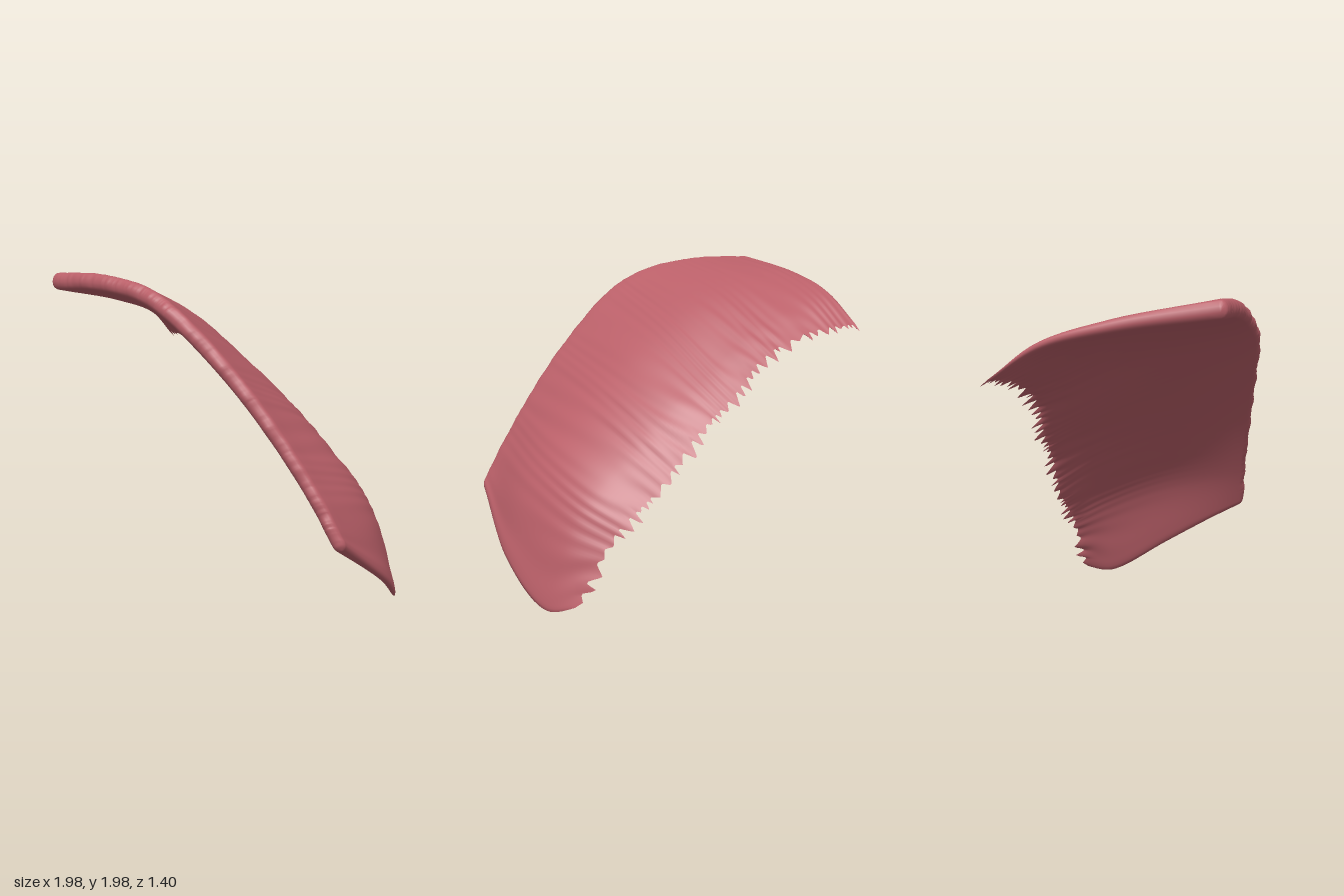
import * as THREE from 'three';

// Rails along the swept sheet, from the front lip to the ragged back edge: [x, y, z]
const RAILS = [
  [[-0.98, 1.98, 0.56], [-0.6, 1.97, 0.6], [-0.24, 1.9, 0.63], [0.01, 1.77, 0.66],
   [0.33, 1.47, 0.62], [0.58, 1.17, 0.58], [0.82, 0.82, 0.54], [0.98, 0.54, 0.52]],
  [[-0.98, 1.88, 0], [-0.64, 1.83, 0], [-0.31, 1.7, 0], [-0.05, 1.52, 0],
   [0.25, 1.29, 0], [0.55, 1.01, 0], [0.82, 0.69, 0], [1.0, 0.22, 0]],
  [[-0.965, 1.76, -0.38], [-0.68, 1.65, -0.38], [-0.37, 1.49, -0.37], [-0.13, 1.29, -0.38],
   [0.14, 1.1, -0.39], [0.44, 0.82, -0.39], [0.7, 0.54, -0.38], [0.89, 0.01, -0.38]],
  [[-0.99, 1.55, -0.65], [-0.72, 1.51, -0.59], [-0.42, 1.37, -0.56], [-0.2, 1.15, -0.58],
   [0.03, 0.95, -0.59], [0.3, 0.65, -0.61], [0.53, 0.43, -0.58], [0.75, 0.06, -0.55]],
];
const COLS = 220, ROWS = 28, ARC = 7;

function seeded(seed) {
  return () => {
    seed = (seed * 16807) % 2147483647;
    return seed / 2147483647;
  };
}

// Offsets for the back edge: teeth of uneven width and length
function createTeeth(random) {
  const teeth = [];
  while (teeth.length <= COLS) {
    const width = 3 + Math.floor(random() * 6);
    const length = 0.02 + 0.07 * random();
    for (let k = 0; k < width; k++) {
      const t = k / (width - 1);
      teeth.push(length * (t < 0.6 ? t / 0.6 : (1 - t) / 0.4) - 0.025);
    }
  }
  return teeth;
}

// Slanting strand ridges
function ridge(u, v) {
  const s = u + 0.035 * v;
  const fade = Math.min(1, 0.25 + v) * (1 - 0.5 * v);
  return fade * (0.004 * Math.sin(s * 85 + 3 * Math.sin(s * 17 + v * 2)) +
    0.003 * Math.sin(s * 190 + 4 * Math.sin(s * 31 - v * 3)));
}

function createSheet() {
  const random = seeded(417);
  const rails = RAILS.map(r => new THREE.CatmullRomCurve3(r.map(p => new THREE.Vector3(...p))));
  const section = u => new THREE.CatmullRomCurve3(rails.map(r => r.getPoint(u)));
  const teeth = createTeeth(random);

  const positions = [], index = [];
  const du = new THREE.Vector3(), dv = new THREE.Vector3();
  for (let i = 0; i <= COLS; i++) {
    const u = i / COLS;
    const here = section(u);
    const before = section(Math.max(0, u - 0.01)), after = section(Math.min(1, u + 0.01));
    const nick = 0.008 * Math.sin(i * 0.37) * random();
    // Rounded, thinner ends
    const end = Math.min(1, Math.min(u, 1 - u) / 0.02);
    const round = 0.3 + 0.7 * Math.sqrt(end * (2 - end));

    const sample = v => {
      du.subVectors(after.getPoint(v), before.getPoint(v));
      dv.copy(here.getTangent(v));
      const normal = new THREE.Vector3().crossVectors(du, dv).normalize();
      const full = (0.105 - 0.03 * u) * Math.pow(1 - v, 0.8);
      const back = Math.max(0, (v - 0.8) / 0.2);
      const base = here.getPoint(v)
        .addScaledVector(dv, teeth[i] * back * back)
        .addScaledVector(normal, -full * (1 - round) / 2);
      const strand = ridge(u, v);
      const outer = base.clone().addScaledVector(normal, strand);
      const inner = base.addScaledVector(normal, strand * v * v - full * round);
      return { outer, inner, dv: dv.clone() };
    };

    // Cross-section: outer face forward, around the lip, inner face back
    const outerRow = [], innerRow = [];
    for (let k = 0; k <= ROWS; k++) {
      const s = sample(k / ROWS);
      outerRow.push(s.outer);
      innerRow.push(s.inner);
    }
    const lip = sample(0);
    const mid = lip.outer.clone().add(lip.inner).multiplyScalar(0.5);
    const half = lip.outer.clone().sub(mid);
    const arc = [];
    for (let k = 1; k < ARC; k++) {
      const a = Math.PI * k / ARC;
      arc.push(mid.clone().addScaledVector(half, Math.cos(a))
        .addScaledVector(lip.dv, -Math.sin(a) * (0.04 * round + nick)));
    }
    for (const p of [...outerRow.reverse(), ...arc, ...innerRow]) positions.push(p.x, p.y, p.z);
  }

  const ring = 2 * (ROWS + 1) + ARC - 1;
  for (let i = 0; i < COLS; i++) {
    for (let k = 0; k < ring - 1; k++) {
      const a = i * ring + k, b = a + ring;
      index.push(a, a + 1, b, b, a + 1, b + 1);
    }
  }
  // Close both ends by pairing outer and inner points
  const last = COLS * ring;
  for (let k = 0; k < Math.floor(ring / 2); k++) {
    const m = ring - 1 - k;
    index.push(k, m, k + 1, k + 1, m, m - 1);
    index.push(last + k, last + k + 1, last + m, last + k + 1, last + m - 1, last + m);
  }

  const geometry = new THREE.BufferGeometry();
  geometry.setAttribute('position', new THREE.Float32BufferAttribute(positions, 3));
  geometry.setIndex(index);
  // Stand on the ground, centred
  geometry.computeBoundingBox();
  const { min, max } = geometry.boundingBox;
  geometry.translate(-(min.x + max.x) / 2, -min.y, -(min.z + max.z) / 2);
  geometry.computeVertexNormals();
  return geometry;
}

export function createModel() {
  const group = new THREE.Group();
  group.name = 'hairFringe';
  const dustyRose = new THREE.MeshStandardMaterial({ color: 0xb95f68, side: THREE.DoubleSide });
  dustyRose.name = 'dustyRose';
  const sheet = new THREE.Mesh(createSheet(), dustyRose);
  sheet.name = 'sweptHairSheet';
  group.add(sheet);
  return group;
}
